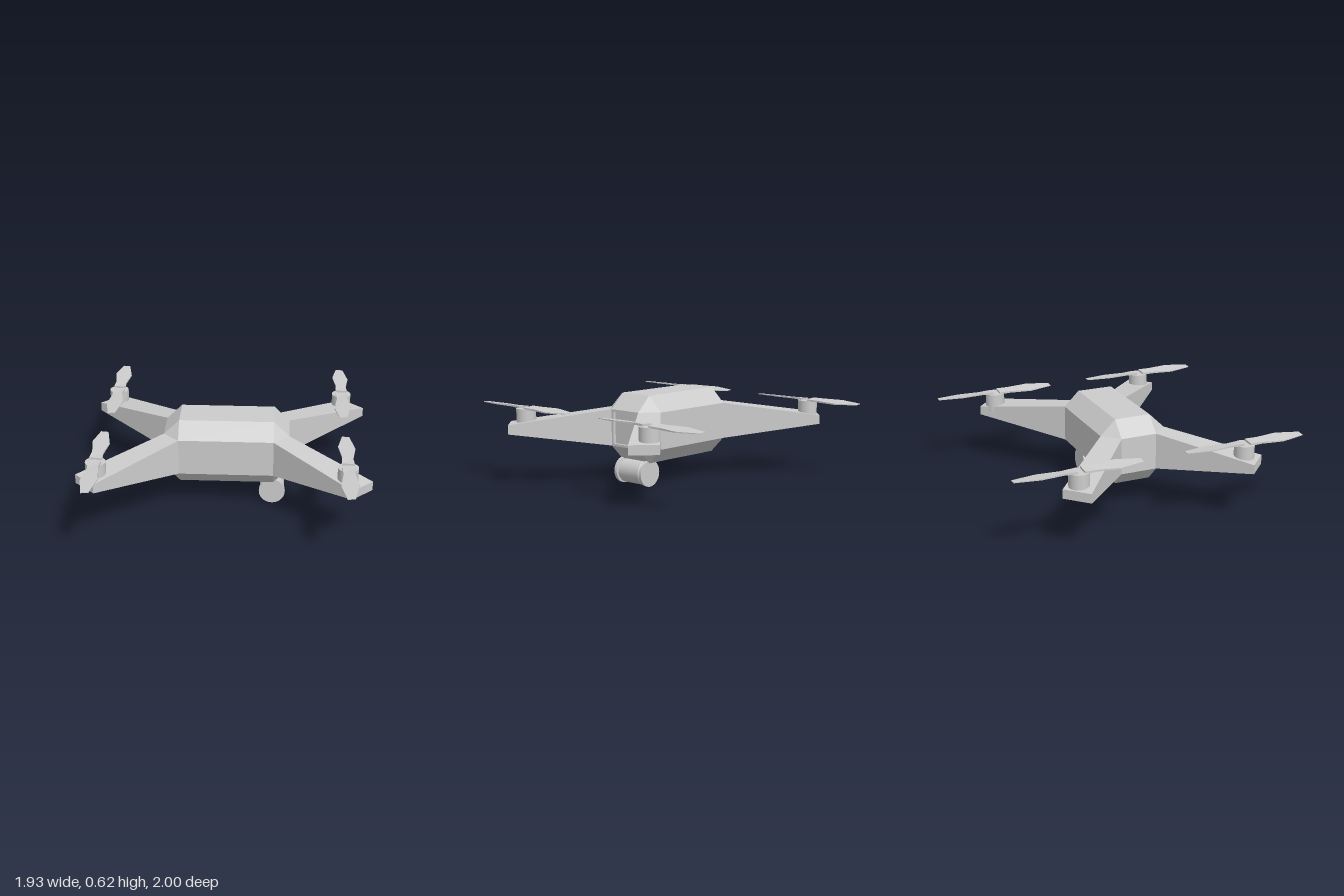
import * as THREE from 'three';
import { toCreasedNormals } from 'three/addons/utils/BufferGeometryUtils.js';
import { ConvexGeometry } from 'three/addons/geometries/ConvexGeometry.js';

const V = (x, y, z) => new THREE.Vector3(x, y, z);
const CZ = 0.0125; // body centre along z
const IN_X = 0.32, OUT_X = 0.425, IN_Z = 0.125, OUT_Z = 0.23;
const Y = { bottom: 0.163, low: 0.268, high: 0.517, top: 0.62 };

// Bevelled box hull, open on the +x end where the recess goes
function bodyGeometry() {
  const points = [];
  for (const sx of [-1, 1]) for (const sz of [-1, 1]) {
    for (const [inner, outer] of [[Y.low, Y.bottom], [Y.high, Y.top]]) {
      points.push(
        V(sx * OUT_X, inner, sz * IN_Z),
        V(sx * IN_X, inner, sz * OUT_Z),
        V(sx * IN_X, outer, sz * IN_Z));
    }
  }
  const p = new ConvexGeometry(points).getAttribute('position');
  const kept = [];
  for (let i = 0; i < p.count; i += 3) {
    const open = [0, 1, 2].every((k) => p.getX(i + k) > OUT_X - 0.001);
    if (!open) for (let k = 0; k < 3; k++) kept.push(p.getX(i + k), p.getY(i + k), p.getZ(i + k));
  }
  const geometry = new THREE.BufferGeometry();
  geometry.setAttribute('position', new THREE.Float32BufferAttribute(kept, 3));
  geometry.computeVertexNormals();
  return geometry;
}

// Square rim around the recess, extruded along +x
function rimGeometry(depth) {
  const rect = (shape, w, h) => shape.moveTo(-w, -h).lineTo(w, -h).lineTo(w, h).lineTo(-w, h).closePath();
  const h = (Y.high - Y.low) / 2;
  const shape = rect(new THREE.Shape(), IN_Z, h);
  shape.holes.push(rect(new THREE.Path(), IN_Z - 0.018, h - 0.016));
  return new THREE.ExtrudeGeometry(shape, { depth, bevelEnabled: false }).rotateY(Math.PI / 2);
}

// Tapered arm from a vertical body bevel to its outer tip
function armGeometry(sx, sz) {
  const points = [];
  for (const [x, z, low, high] of [
    [IN_X, OUT_Z, Y.low, Y.high], [OUT_X, IN_Z, Y.low, Y.high],
    [0.825, 0.697, 0.36, 0.422], [0.963, 0.5625, 0.36, 0.422],
  ]) points.push(V(sx * x, low, sz * z), V(sx * x, high, sz * z));
  return new ConvexGeometry(points);
}

// Pitched blade lofted through rectangular sections along +z
function bladeGeometry() {
  // distance, half width, edge lift, half thickness
  const sections = [
    [0.025, 0.042, 0.003, 0.007],
    [0.11, 0.036, 0.005, 0.006],
    [0.26, 0.057, 0.007, 0.004],
    [0.425, 0.025, 0.002, 0.002],
  ];
  const pos = [], index = [];
  for (const [z, w, lift, t] of sections) {
    pos.push(w, lift - t, z, w, lift + t, z, -w, -lift + t, z, -w, -lift - t, z);
  }
  for (let s = 0; s < sections.length - 1; s++) for (let i = 0; i < 4; i++) {
    const a = s * 4 + i, b = s * 4 + (i + 1) % 4;
    index.push(a, b, b + 4, a, b + 4, a + 4);
  }
  const e = (sections.length - 1) * 4;
  index.push(0, 2, 1, 0, 3, 2, e, e + 1, e + 2, e, e + 2, e + 3);
  const indexed = new THREE.BufferGeometry();
  indexed.setAttribute('position', new THREE.Float32BufferAttribute(pos, 3));
  indexed.setIndex(index);
  const geometry = indexed.toNonIndexed();
  geometry.computeVertexNormals();
  return geometry;
}

// Camera barrel with a disc and a groove at each end
function cameraGeometry() {
  const half = [[0.09, 0.125], [0.09, 0.103], [0.076, 0.101], [0.076, 0.095], [0.083, 0.088]];
  const profile = [[0, 0.125], ...half, ...half.slice().reverse().map(([r, h]) => [r, -h]), [0, -0.125]]
    .reverse().map(([r, h]) => new THREE.Vector2(r, h));
  return toCreasedNormals(new THREE.LatheGeometry(profile, 40).rotateX(Math.PI / 2), 0.5);
}

export function createModel() {
  const model = new THREE.Group();
  model.name = 'quadcopter';
  const grey = new THREE.MeshStandardMaterial({ color: 0xcccccc });
  grey.name = 'light grey';

  const add = (parent, name, geometry, x = 0, y = 0, z = 0) => {
    const mesh = new THREE.Mesh(geometry, grey);
    mesh.name = name;
    mesh.position.set(x, y, z);
    parent.add(mesh);
    return mesh;
  };

  // Body with recessed end panel
  const depth = 0.02, midY = (Y.low + Y.high) / 2;
  add(model, 'body', bodyGeometry(), 0, 0, CZ);
  add(model, 'recessRim', rimGeometry(depth), OUT_X - depth, midY, CZ);
  add(model, 'recessPanel', new THREE.BoxGeometry(0.008, 0.24, 0.24), OUT_X - depth - 0.004, midY, CZ);

  // Camera slung under the +x end
  add(model, 'camera', cameraGeometry(), 0.313, 0.092, CZ);

  // Four arms, each with a motor and a two-bladed rotor
  const motor = new THREE.CylinderGeometry(0.067, 0.067, 0.13, 32);
  const blade = bladeGeometry();
  for (const sx of [-1, 1]) for (const sz of [-1, 1]) {
    const corner = (sz > 0 ? 'front' : 'back') + (sx > 0 ? 'Left' : 'Right');
    add(model, corner + 'Arm', armGeometry(sx, sz), 0, 0, CZ);

    const rotor = new THREE.Group();
    rotor.name = corner + 'Rotor';
    rotor.position.set(sx * 0.8135 - 0.012, 0, sz * 0.576);
    model.add(rotor);
    add(rotor, 'motor', motor, 0, 0.456, 0);
    for (const turn of [0, Math.PI]) add(rotor, 'blade', blade, 0, 0.527, 0).rotation.y = turn;
  }
  return model;
}
